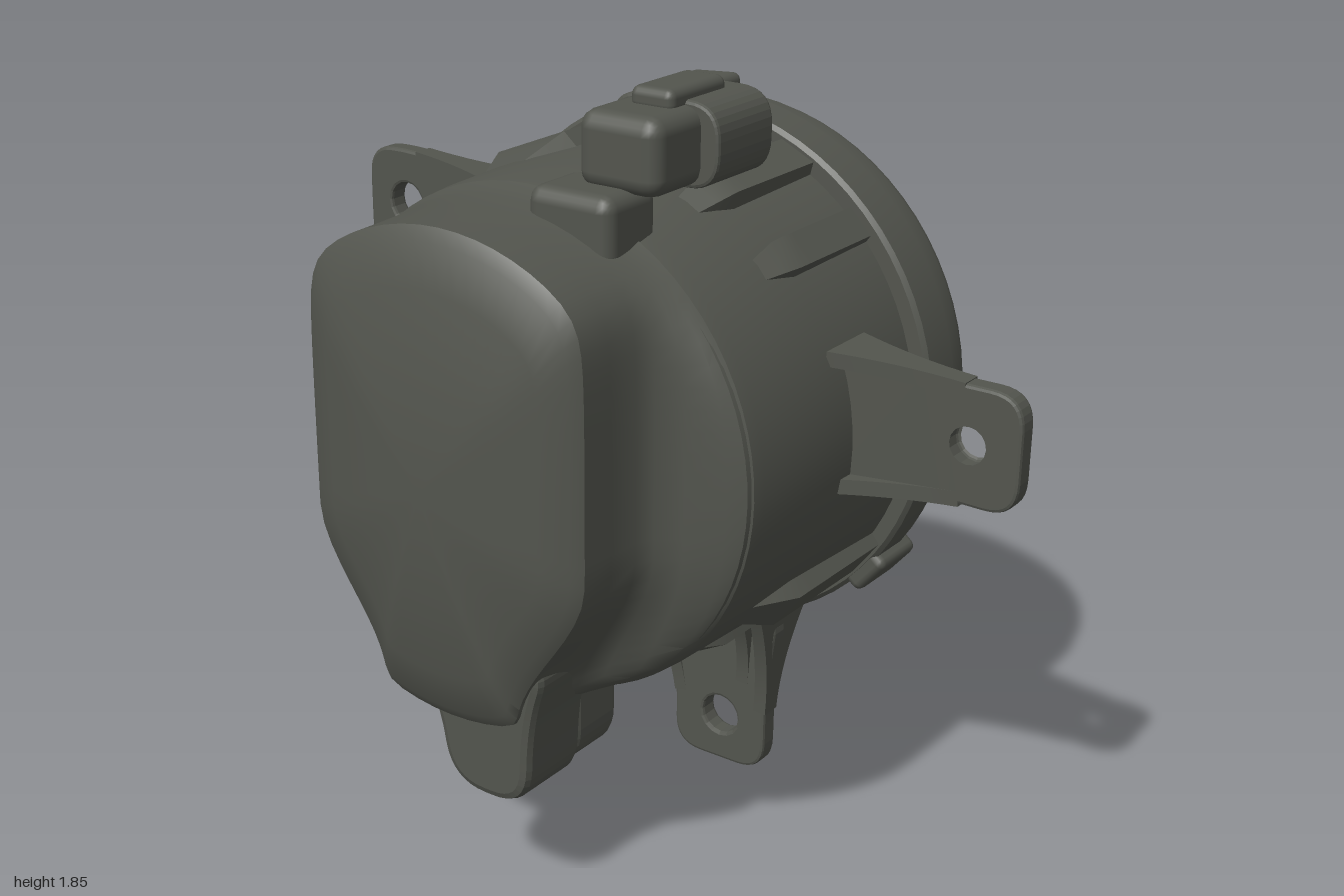
import * as THREE from 'three';
import { toCreasedNormals } from 'three/addons/utils/BufferGeometryUtils.js';
import { RoundedBoxGeometry } from 'three/addons/geometries/RoundedBoxGeometry.js';

const CY = 1.035, CZ = -0.01; // lamp axis, running along x

export function createModel() {
  const model = new THREE.Group();
  const plastic = new THREE.MeshStandardMaterial({ color: 0x53554e, side: THREE.DoubleSide });
  plastic.name = 'dark grey plastic';

  const add = (name, geo, x = 0, y = 0, z = 0, parent = model) => {
    const mesh = new THREE.Mesh(geo, plastic);
    mesh.name = name;
    mesh.position.set(x, y, z);
    parent.add(mesh);
    return mesh;
  };
  const box = (name, x0, x1, y0, y1, z0, z1, r = 0.015) =>
    add(name, new RoundedBoxGeometry(x1 - x0, y1 - y0, z1 - z0, 2, r), (x0 + x1) / 2, (y0 + y1) / 2, (z0 + z1) / 2);
  // revolve [x, radius] points about the lamp axis
  const spin = (pts, segs = 72) =>
    new THREE.LatheGeometry(pts.map(([x, r]) => new THREE.Vector2(r, x)), segs).rotateZ(-Math.PI / 2);
  // extrude a shape drawn in (-z, y) along x, starting at x0
  const plate = (shape, x0, depth, bevel = 0.008) => new THREE.ExtrudeGeometry(shape, {
    depth: depth - 2 * bevel, bevelEnabled: true, bevelSize: bevel, bevelThickness: bevel,
    bevelOffset: -bevel, bevelSegments: 2, curveSegments: 8,
  }).rotateY(Math.PI / 2).translate(x0 + bevel, 0, 0);
  // polygon of [z, y] points with rounded corners
  const rounded = (pts, rad) => {
    const p = pts.map(([z, y]) => new THREE.Vector2(-z, y));
    const s = new THREE.Shape();
    p.forEach((c, i) => {
      const toward = (q) => {
        const v = q.clone().sub(c);
        return c.clone().addScaledVector(v.clone().normalize(), Math.min(rad, v.length() * 0.45));
      };
      const a = toward(p[(i + p.length - 1) % p.length]), b = toward(p[(i + 1) % p.length]);
      if (i) s.lineTo(a.x, a.y); else s.moveTo(a.x, a.y);
      s.quadraticCurveTo(c.x, c.y, b.x, b.y);
    });
    s.closePath();
    return s;
  };

  // main barrel, mounting ring and rolled front rim
  add('barrel', toCreasedNormals(spin([
    [-0.25, 0.585], [-0.2, 0.595], [0.1, 0.605], [0.4, 0.615], [0.4, 0.65], [0.41, 0.66], [0.515, 0.66], [0.525, 0.65],
    [0.525, 0.638], [0.585, 0.642], [0.61, 0.632], [0.622, 0.61], [0.625, 0.585], [0.615, 0.555], [0.59, 0.525],
    [0.55, 0.5], [0.5, 0.488], [0.47, 0.485],
  ]), 0.6), 0, CY, CZ);

  // reflector bowl with upright flutes that fade out at both ends
  const bowlCurve = new THREE.SplineCurve([
    [0.48, 0.486], [0.4, 0.475], [0.32, 0.45], [0.25, 0.41], [0.19, 0.36], [0.14, 0.31], [0.1, 0.26],
    [0.07, 0.21], [0.05, 0.16], [0.04, 0.12],
  ].map(([x, r]) => new THREE.Vector2(x, r)));
  const bowl = spin(bowlCurve.getPoints(27).map((p) => [p.x, p.y]), 120);
  const bp = bowl.attributes.position;
  for (let i = 0; i < bp.count; i++) {
    const r = Math.hypot(bp.getY(i), bp.getZ(i));
    const fade = THREE.MathUtils.smoothstep(r, 0.13, 0.22) * (1 - THREE.MathUtils.smoothstep(r, 0.43, 0.486));
    bp.setX(i, bp.getX(i) + 0.015 * fade * Math.cos(bp.getZ(i) * 45));
  }
  bowl.computeVertexNormals();
  add('reflector', bowl, 0, CY, CZ);

  // bulb and its collar
  add('bulb', toCreasedNormals(spin([
    [0.03, 0.135], [0.1, 0.135], [0.115, 0.12], [0.115, 0.095], [0.2, 0.09], [0.21, 0.075], [0.36, 0.072], [0.4, 0.06],
    [0.44, 0.035], [0.465, 0.032], [0.48, 0.045], [0.515, 0.057], [0.545, 0.05], [0.565, 0.03], [0.572, 0],
  ], 28), 0.6), 0, CY, CZ);

  // rear housing: flat-sided at the back, narrowing downward, swelling to a full circle in front
  const sections = [ // x, radius, side limit, scale, lower narrowing
    [-0.622, 0.565, 0.37, 0.001, 0.5], [-0.618, 0.565, 0.37, 0.25, 0.5], [-0.605, 0.565, 0.37, 0.5, 0.5],
    [-0.58, 0.565, 0.37, 0.78, 0.5], [-0.555, 0.565, 0.37, 0.95, 0.5], [-0.535, 0.565, 0.375, 1, 0.5],
    [-0.45, 0.567, 0.38, 1, 0.47], [-0.37, 0.57, 0.385, 1, 0.42], [-0.33, 0.573, 0.405, 1, 0.35],
    [-0.295, 0.577, 0.46, 1, 0.24], [-0.265, 0.582, 0.58, 1, 0.1], [-0.235, 0.592, 2, 1, 0],
  ];
  const N = 72, pos = [], idx = [];
  sections.forEach(([x, r, lim, k, narrow], i) => {
    for (let j = 0; j <= N; j++) {
      const a = j / N * Math.PI * 2;
      const side = lim * (1 - narrow * THREE.MathUtils.smoothstep(-Math.cos(a), 0.25, 0.95));
      let z = r * Math.sin(a);
      z /= Math.pow(1 + Math.pow(Math.abs(z / side), 10), 0.1);
      pos.push(x, k * r * Math.cos(a), k * z);
      if (i < sections.length - 1 && j < N) {
        const p = i * (N + 1) + j, q = p + N + 1;
        idx.push(p, p + 1, q, p + 1, q + 1, q);
      }
    }
  });
  const rear = new THREE.BufferGeometry();
  rear.setAttribute('position', new THREE.Float32BufferAttribute(pos, 3));
  rear.setIndex(idx);
  add('rearHousing', toCreasedNormals(rear, 0.6), 0, CY, CZ);

  // drain tail under the rear housing
  add('rearTail', plate(rounded([[0.25, 0.66], [0.2, 0.5], [0.19, 0.285], [-0.03, 0.285], [-0.07, 0.5], [-0.2, 0.66]], 0.1),
    -0.525, 0.2, 0.02));
  add('tailSpout', plate(rounded([[0.19, 0.6], [0.19, 0.3], [-0.13, 0.3], [-0.13, 0.6]], 0.1), -0.34, 0.16, 0.02));

  // raised ribs around the barrel: [angle from top toward +z, width, start x, height]
  [[-158, 0.14, -0.04, 0.045], [-130, 0.15, -0.06, 0.045], [-106, 0.1, 0, 0.03], [-52, 0.14, -0.04, 0.045],
    [-22, 0.26, -0.04, 0.035], [5, 0.16, 0, 0.065], [26, 0.12, -0.02, 0.045], [46, 0.1, 0, 0.035],
    [127, 0.14, -0.08, 0.045], [152, 0.1, -0.04, 0.035], [176, 0.2, -0.2, 0.03]].forEach(([deg, w, x0, h]) => {
    const len = 0.41 - x0;
    const g = new THREE.BoxGeometry(len, 0.08, w, 8, 1, 1);
    const p = g.attributes.position;
    for (let i = 0; i < p.count; i++) {
      const s = Math.min(1, (p.getX(i) / len + 0.5) * 4); // ramp at the rear end
      p.setZ(i, p.getZ(i) * (0.6 + 0.4 * s) * (p.getY(i) > 0 ? 0.8 : 1.1));
      if (p.getY(i) > 0) p.setY(i, h * s);
    }
    const a = THREE.MathUtils.degToRad(deg);
    const rib = add('barrelRib', toCreasedNormals(g, 0.4), x0 + len / 2, CY + 0.597 * Math.cos(a), CZ + 0.597 * Math.sin(a));
    rib.rotation.x = a;
  });

  // clips on the mounting ring
  [[-4, 0.14, 0.665], [130, 0.12, 0.66]].forEach(([deg, w, r]) => {
    const a = THREE.MathUtils.degToRad(deg);
    const clip = add('ringClip', new RoundedBoxGeometry(0.165, 0.06, w, 2, 0.02), 0.483,
      CY + r * Math.cos(a), CZ + r * Math.sin(a));
    clip.rotation.x = a;
  });

  // mounting ears: drilled plate with a flaring flange along each side
  const ear = (name, outline, hole, x, baseX, flare, edges) => {
    const g = new THREE.Group();
    g.name = name;
    const shape = rounded(outline, 0.08);
    const h = new THREE.Path();
    h.absarc(-hole[0], hole[1], 0.052, 0, Math.PI * 2, true);
    shape.holes.push(h);
    add('earPlate', plate(shape, x - 0.027, 0.054), 0, 0, 0, g);
    edges.forEach(([z0, y0, z1, y1]) => {
      const len = Math.hypot(z1 - z0, y1 - y0);
      const fl = new THREE.BoxGeometry(1, len, 0.035, 1, 8, 1);
      const p = fl.attributes.position;
      for (let i = 0; i < p.count; i++) {
        const s = Math.max(0, p.getY(i) / len + 0.5), e = s * s;
        p.setX(i, p.getX(i) * (0.054 + (flare - 0.054) * e) + (baseX - x) * e);
      }
      const m = add('earFlange', toCreasedNormals(fl, 0.6), x, (y0 + y1) / 2, (z0 + z1) / 2, g);
      m.rotation.x = Math.atan2(z1 - z0, y1 - y0);
    });
    model.add(g);
  };
  ear('leftEar', [[1, 0.97], [1, 1.25], [0.78, 1.25], [0.54, 1.275], [0.54, 0.94], [0.78, 0.975]], [0.875, 1.113], 0.17, 0.17, 0.16,
    [[0.86, 1.235, 0.55, 1.255], [0.86, 0.985, 0.55, 0.955]]);
  ear('rightEar', [[-1, 1.17], [-1, 1.45], [-0.83, 1.455], [-0.66, 1.42], [-0.48, 1.43], [-0.54, 0.9], [-0.66, 1.03], [-0.79, 1.14]],
    [-0.875, 1.312], 0.365, 0.36, 0.19,
    [[-0.84, 1.435, -0.5, 1.405], [-0.8, 1.155, -0.59, 0.95], [-0.82, 1.235, -0.55, 1.2]]);
  ear('lowerEar', [[0.27, 0], [0, 0], [0, 0.19], [-0.05, 0.42], [0.3, 0.46], [0.27, 0.22]], [0.137, 0.127], 0.365, 0.385, 0.22,
    [[0.255, 0.17, 0.275, 0.46], [0.015, 0.16, -0.035, 0.44], [0.2, 0.24, 0.215, 0.46]]);

  // electrical connector on top, socket opening forward
  box('connectorFoot', -0.34, -0.16, 1.5, 1.66, 0.06, 0.28, 0.035);
  box('connectorNeck', -0.26, -0.06, 1.645, 1.815, 0.13, 0.34, 0.04);
  const shell = rounded([[0.385, 1.638], [0.105, 1.638], [0.105, 1.825], [0.385, 1.825]], 0.08);
  const cavity = rounded([[0.35, 1.67], [0.14, 1.67], [0.14, 1.79], [0.35, 1.79]], 0.055);
  shell.holes.push(new THREE.Path(cavity.getPoints(6)));
  add('connectorShell', plate(shell, -0.1, 0.21));
  add('connectorBack', plate(rounded([[0.375, 1.65], [0.115, 1.65], [0.115, 1.815], [0.375, 1.815]], 0.07), -0.1, 0.05));
  box('latch', -0.15, 0.06, 1.8, 1.852, 0.19, 0.3, 0.02);
  [0.205, 0.285].forEach((z) => box('pin', -0.07, 0.08, 1.715, 1.745, z - 0.018, z + 0.018, 0.004));

  return model;
}
